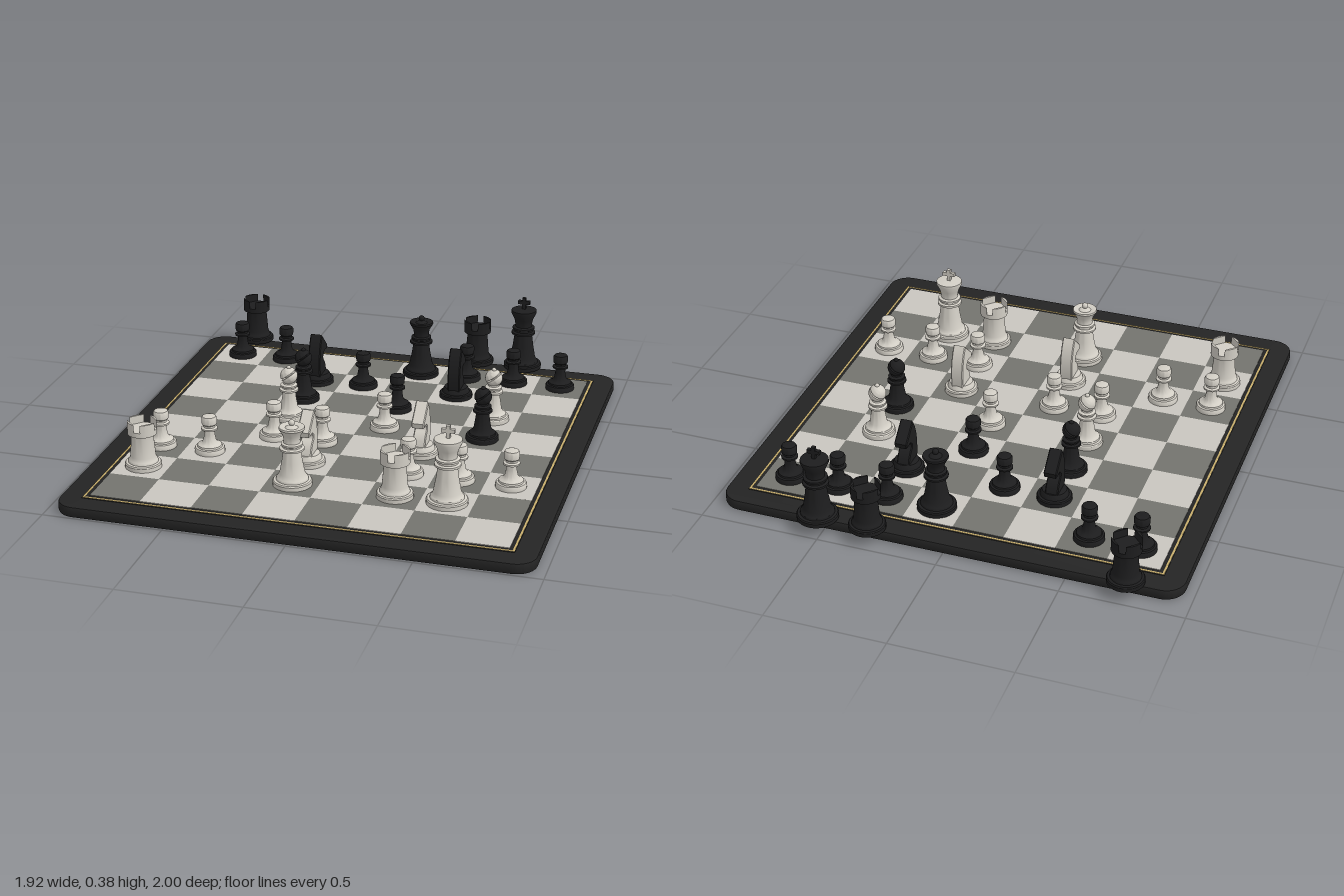
import * as THREE from 'three';
import { toCreasedNormals } from 'three/addons/utils/BufferGeometryUtils.js';

const CELL = 0.2115, MID_Z = 0.035, TOP = 0.051;

const mat = (name, color) => {
  const m = new THREE.MeshStandardMaterial({ color });
  m.name = name;
  return m;
};
const MATS = {
  frame: mat('board black', 0x242424),
  light: mat('light square', 0xc9c5bf),
  dark: mat('dark square', 0x74746e),
  gold: mat('gold inlay', 0xc8ae6c),
  white: mat('ivory', 0xd2cec5),
  black: mat('ebony', 0x1d1d1e),
};

function mesh(name, geo, material, x = 0, y = 0, z = 0) {
  const m = new THREE.Mesh(geo, material);
  m.name = name;
  m.position.set(x, y, z);
  return m;
}

// Turned part from [radius, height] pairs, bottom to top
const turned = (pts, seg = 32) =>
  toCreasedNormals(new THREE.LatheGeometry(pts.map(([r, y]) => new THREE.Vector2(r, y)), seg), 0.6);

// Stepped foot shared by every piece
const foot = (r) => [[0, 0], [r, 0], [r, 0.017], [r * 0.95, 0.022], [r * 0.82, 0.024], [r * 0.8, 0.032]];

function roundedSquare(half, r) {
  const s = new THREE.Shape(), k = half - r;
  s.absarc(k, k, r, 0, Math.PI / 2);
  s.absarc(-k, k, r, Math.PI / 2, Math.PI);
  s.absarc(-k, -k, r, Math.PI, Math.PI * 1.5);
  s.absarc(k, -k, r, Math.PI * 1.5, Math.PI * 2);
  s.closePath();
  return s;
}

// Each piece is a list of [part name, geometry]
function pawn() {
  return [['body', turned([...foot(0.063), [0.036, 0.038], [0.027, 0.05], [0.022, 0.075], [0.022, 0.095],
    [0.034, 0.099], [0.034, 0.106], [0.024, 0.11], [0.024, 0.118], [0.031, 0.124], [0.032, 0.15],
    [0.028, 0.157], [0.018, 0.16], [0, 0.16]])]];
}

function rook() {
  const R = 0.06, s = 0.013, a = Math.asin(s / R);
  const wedge = new THREE.Shape();
  wedge.moveTo(s, s);
  wedge.absarc(0, 0, R, a, Math.PI / 2 - a);
  wedge.closePath();
  const parts = [['body', turned([...foot(0.075), [0.056, 0.036], [0.052, 0.05], [0.045, 0.135], [0.046, 0.143],
    [R, 0.147], [R, 0.168], [0, 0.168]])]];
  // Four battlements divided by crossing slots
  for (let i = 0; i < 4; i++) {
    const g = new THREE.ExtrudeGeometry(wedge, { depth: 0.034, bevelEnabled: false, curveSegments: 8 });
    g.rotateX(-Math.PI / 2).rotateY(i * Math.PI / 2).translate(0, 0.168, 0);
    parts.push(['battlement', toCreasedNormals(g, 0.6)]);
  }
  return parts;
}

function bishop() {
  const r = 0.037, arc = [];
  // Ball with a tilted groove
  for (let i = 0; i <= 18; i++) {
    const t = -Math.PI / 2 + (i / 18) * Math.PI;
    if (i === 10) arc.push([0.018, r * Math.sin(t) - 0.006], [0.018, r * Math.sin(t)]);
    arc.push([Math.max(0, r * Math.cos(t)), r * Math.sin(t)]);
  }
  const head = turned(arc).rotateZ(0.62).translate(0, 0.193, 0);
  return [
    ['body', turned([...foot(0.069), [0.046, 0.038], [0.037, 0.052], [0.029, 0.1], [0.028, 0.122], [0.04, 0.126],
      [0.04, 0.134], [0.03, 0.138], [0.03, 0.143], [0.036, 0.146], [0.036, 0.153], [0.024, 0.158], [0.02, 0.168], [0, 0.168]])],
    ['head', head],
    ['finial', new THREE.SphereGeometry(0.01, 14, 10).translate(0, 0.229, 0)],
  ];
}

function knight() {
  // Side outline: x is forward, y is up
  const s = new THREE.Shape();
  s.moveTo(-0.048, 0.03);
  s.quadraticCurveTo(-0.07, 0.15, -0.014, 0.228);
  s.lineTo(0.064, 0.158);
  s.lineTo(0.059, 0.136);
  s.lineTo(0.022, 0.14);
  s.quadraticCurveTo(-0.006, 0.125, 0.006, 0.108);
  s.quadraticCurveTo(0.04, 0.085, 0.046, 0.03);
  s.closePath();
  const g = new THREE.ExtrudeGeometry(s, { depth: 0.046, bevelEnabled: true, bevelSize: 0.004,
    bevelThickness: 0.004, bevelOffset: -0.004, bevelSegments: 1, curveSegments: 10 });
  g.translate(0, 0, -0.023).rotateY(-Math.PI / 2);
  return [
    ['base', turned([...foot(0.072), [0.054, 0.04], [0.05, 0.046], [0, 0.046]])],
    ['horse head', toCreasedNormals(g, 0.5)],
  ];
}

function queen() {
  return [
    ['body', turned([...foot(0.08), [0.06, 0.036], [0.052, 0.05], [0.042, 0.1], [0.035, 0.148], [0.05, 0.152],
      [0.05, 0.16], [0.039, 0.164], [0.039, 0.17], [0.044, 0.173], [0.044, 0.18], [0.034, 0.184], [0.033, 0.195],
      [0.037, 0.215], [0.053, 0.243], [0.051, 0.25], [0.044, 0.25], [0.026, 0.246], [0.01, 0.256], [0, 0.257]])],
    ['finial', new THREE.SphereGeometry(0.013, 16, 12).translate(0, 0.266, 0)],
  ];
}

function king() {
  return [
    ['body', turned([...foot(0.084), [0.062, 0.036], [0.056, 0.05], [0.046, 0.105], [0.039, 0.157], [0.053, 0.161],
      [0.053, 0.17], [0.043, 0.174], [0.043, 0.181], [0.049, 0.184], [0.049, 0.192], [0.037, 0.196], [0.037, 0.206],
      [0.042, 0.23], [0.057, 0.262], [0.056, 0.273], [0.045, 0.274], [0.015, 0.278], [0, 0.278]])],
    ['cross upright', new THREE.BoxGeometry(0.016, 0.056, 0.016).translate(0, 0.302, 0)],
    ['cross arm', new THREE.BoxGeometry(0.054, 0.016, 0.016).translate(0, 0.308, 0)],
  ];
}

const PIECES = { pawn: pawn(), rook: rook(), bishop: bishop(), knight: knight(), queen: queen(), king: king() };

// [column, row] of each piece; row 0 is the back rank of the board
const LAYOUT = {
  white: {
    pawn: [[4, 3], [2, 4], [3, 4], [0, 5], [1, 5], [5, 5], [6, 5], [7, 5]],
    rook: [[0, 6], [5, 6]], bishop: [[6, 2], [2, 3]], knight: [[5, 4], [3, 5]], queen: [[3, 6]], king: [[6, 6]],
  },
  black: {
    pawn: [[0, 0], [1, 0], [5, 0], [6, 0], [7, 0], [3, 1], [4, 2]],
    rook: [[0, -1], [5, -1]], bishop: [[2, 2], [6, 3]], knight: [[2, 1], [5, 1]], queen: [[4, 0]], king: [[6, -1]],
  },
};
const cellX = (c) => (c - 3.5) * CELL;
const cellZ = (r) => MID_Z + (r - 3.5) * CELL;

function buildBoard() {
  const board = new THREE.Group();
  board.name = 'board';
  // Rounded slab with a small bevel
  const slab = new THREE.ExtrudeGeometry(roundedSquare(0.96, 0.085), { depth: 0.03, bevelEnabled: true,
    bevelSize: 0.008, bevelThickness: 0.008, bevelOffset: -0.008, bevelSegments: 2, curveSegments: 10 });
  slab.rotateX(-Math.PI / 2);
  board.add(mesh('slab', toCreasedNormals(slab, 0.5), MATS.frame, 0, 0.008, MID_Z));
  board.add(mesh('raised panel', new THREE.BoxGeometry(1.74, 0.01, 1.74), MATS.frame, 0, 0.0435, MID_Z));

  // Gold line around the squares
  for (let i = 0; i < 4; i++) {
    const side = new THREE.BoxGeometry(1.736, 0.003, 0.008).translate(0, 0, 0.864).rotateY(i * Math.PI / 2);
    board.add(mesh('gold line', side, MATS.gold, 0, 0.0485, MID_Z));
  }

  for (let r = 0; r < 8; r++) for (let c = 0; c < 8; c++) {
    const square = new THREE.BoxGeometry(CELL, 0.004, CELL);
    board.add(mesh('square', square, (r + c) % 2 ? MATS.dark : MATS.light, cellX(c), 0.049, cellZ(r)));
  }
  return board;
}

export function createModel() {
  const model = new THREE.Group();
  model.name = 'chess set';
  model.add(buildBoard());
  for (const [side, kinds] of Object.entries(LAYOUT))
    for (const [kind, cells] of Object.entries(kinds))
      for (const [c, r] of cells) {
        const piece = new THREE.Group();
        piece.name = `${side} ${kind}`;
        for (const [name, geo] of PIECES[kind]) piece.add(mesh(name, geo, MATS[side]));
        piece.position.set(cellX(c), TOP, cellZ(r));
        // Knights look back toward their own side
        if (kind === 'knight') piece.rotation.y = side === 'white' ? 0 : Math.PI;
        model.add(piece);
      }
  return model;
}
